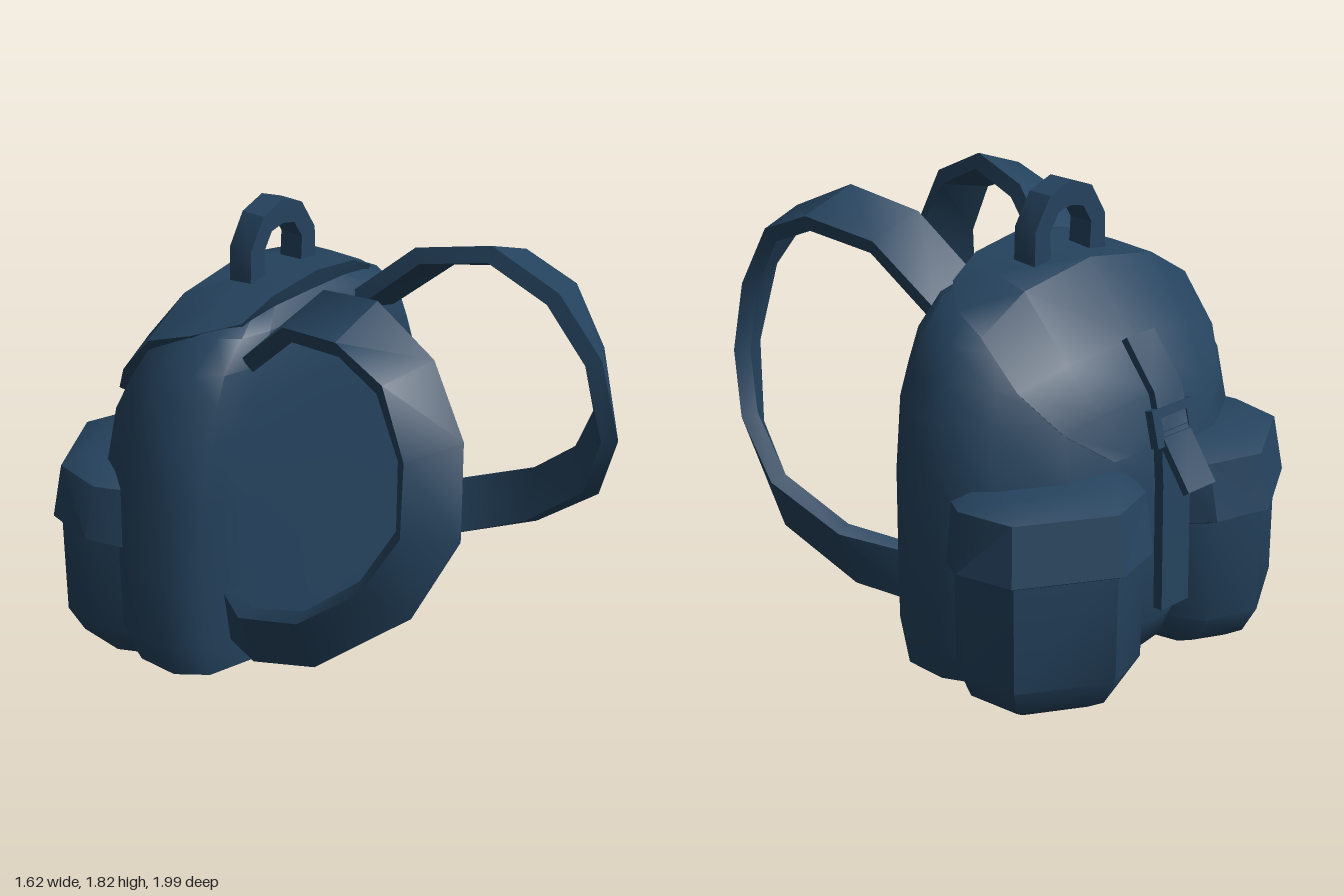
import * as THREE from 'three';
import { toCreasedNormals } from 'three/addons/utils/BufferGeometryUtils.js';

const V = (x, y, z) => new THREE.Vector3(x, y, z);

// Skin a list of closed rings, cap both ends and make it face outwards
function loft(rings, crease = 0.75) {
  const n = rings[0].length, pts = rings.flat(), tris = [];
  rings.slice(1).forEach((_, r) => {
    for (let i = 0; i < n; i++) {
      const a = r * n + i, b = r * n + (i + 1) % n;
      tris.push([a, b, a + n], [b, b + n, a + n]);
    }
  });
  [0, rings.length - 1].forEach((r) => {
    const c = V(0, 0, 0);
    rings[r].forEach((p) => c.addScaledVector(p, 1 / n));
    const k = pts.push(c) - 1;
    for (let i = 0; i < n; i++) {
      const a = r * n + i, b = r * n + (i + 1) % n;
      tris.push(r ? [a, b, k] : [b, a, k]);
    }
  });
  let volume = 0;
  tris.forEach(([a, b, c]) => { volume += pts[a].dot(V(0, 0, 0).crossVectors(pts[b], pts[c])); });
  if (volume < 0) tris.forEach((t) => t.reverse());
  const g = new THREE.BufferGeometry().setFromPoints(pts);
  g.setIndex(tris.flat());
  return toCreasedNormals(g.toNonIndexed(), crease);
}

// Flat webbing running between two edge tracks, thickened to one side
function band(P, Q, thickness) {
  return P.map((p, i) => {
    const q = Q[i], a = Math.max(i - 1, 0), b = Math.min(i + 1, P.length - 1);
    const t = P[b].clone().add(Q[b]).sub(P[a]).sub(Q[a]);
    const d = q.clone().sub(p).cross(t).normalize().multiplyScalar(thickness);
    return [p, q, q.clone().add(d), p.clone().add(d)];
  });
}

const mirrorRings = (rings, s) => rings.map((r) => r.map((p) => V(p.x * s, p.y, p.z)));

export function createModel() {
  const model = new THREE.Group();
  model.name = 'backpack';
  const navy = new THREE.MeshStandardMaterial({ color: 0x25435e });
  navy.name = 'navy canvas';
  const add = (name, geometry) => {
    const mesh = new THREE.Mesh(geometry, navy);
    mesh.name = name;
    model.add(mesh);
    return mesh;
  };

  // Main bag: flat panel at the front, rounded at the rear
  const half = [[0, 0], [0.62, 0.02], [0.88, 0.09], [1, 0.25], [1, 0.5], [0.88, 0.74], [0.55, 0.92], [0, 1]];
  const outline = [...half, ...half.slice(1, -1).reverse().map(([u, v]) => [-u, v])];
  const body = [
    // y, half width, front z, rear z
    [0.01, 0.54, -0.2, -0.6], [0.07, 0.71, -0.02, -0.72], [0.2, 0.745, -0.015, -0.78],
    [0.5, 0.745, -0.01, -0.8], [0.8, 0.735, 0, -0.79], [1.08, 0.7, 0, -0.73],
    [1.2, 0.645, 0, -0.68], [1.32, 0.59, -0.01, -0.6], [1.43, 0.47, -0.03, -0.48], [1.5, 0.3, -0.1, -0.38],
  ].map(([y, w, f, b]) => outline.map(([u, v]) => V(u * w, y, f + (b - f) * v)));
  add('mainBag', loft(body));

  // Lid: arched sections from the front edge, over the top, down the rear
  const lid = [
    // centre y, z, then edge x, y, z
    [1.575, -0.06, 0.38, 1.47, -0.1], [1.56, -0.25, 0.5, 1.42, -0.25], [1.55, -0.43, 0.55, 1.37, -0.42],
    [1.29, -0.66, 0.53, 1.2, -0.58], [1.12, -0.77, 0.43, 1.05, -0.71], [0.93, -0.805, 0.25, 0.92, -0.79],
  ].map(([cy, cz, ex, ey, ez]) => {
    const top = [-1, -0.62, 0, 0.62, 1].map((u) => {
      const k = Math.abs(u) === 1 ? 1 : Math.abs(u) * 0.5;
      return V(u * ex, cy + (ey - cy) * k, cz + (ez - cz) * k);
    });
    const under = top.map((p) => p.clone().add(V(0, 0.8, -0.3).sub(p).setX(-p.x).normalize().multiplyScalar(0.07)));
    return [...top, ...under.reverse()];
  });
  add('lid', loft(lid));

  // Carry handle
  const arch = [[0.19, 1.5, 0.1, 1.5], [0.185, 1.66, 0.11, 1.64], [0.11, 1.78, 0.065, 1.71]];
  const archAll = [...arch, [0, 1.82, 0, 1.725], ...arch.map(([a, b, c, d]) => [-a, b, -c, d]).reverse()];
  add('carryHandle', loft(archAll.map(([ox, oy, ix, iy]) =>
    [V(ox, oy, -0.225), V(ox, oy, -0.33), V(ix, iy, -0.33), V(ix, iy, -0.225)]), 0.6));

  // Shoulder strap edge tracks: the webbing twists as it comes down
  const inner = [V(0.2, 1.42, -0.06), V(0.27, 1.65, 0.2), V(0.34, 1.71, 0.5), V(0.38, 1.58, 0.78), V(0.43, 1.34, 0.95),
    V(0.5, 1, 1), V(0.6, 0.69, 0.87), V(0.71, 0.4, 0.52), V(0.65, 0.25, 0.17), V(0.53, 0.2, -0.06)];
  const outer = [V(0.43, 1.36, -0.06), V(0.5, 1.58, 0.2), V(0.57, 1.63, 0.5), V(0.59, 1.54, 0.72), V(0.62, 1.3, 0.84),
    V(0.66, 1.03, 0.86), V(0.73, 0.8, 0.74), V(0.785, 0.61, 0.5), V(0.73, 0.48, 0.17), V(0.56, 0.42, -0.06)];
  const strap = band(inner, outer, 0.065);

  // Rear pockets, turned outwards by about 30 degrees
  const pocketRing = (y, w, n, dip = 0) => [
    [-w, 0.6], [-w, n - 0.34], [-w, n - 0.17], [-w * 0.56, n], [w * 0.56, n], [w, n - 0.17], [w, n - 0.34], [w, 0.6],
  ].map(([a, d], i) => {
    const k = a + 0.05;
    return V(0.86 * k + 0.51 * d, y + (i > 1 && i < 6 ? dip : 0), 0.51 * k - 0.86 * d);
  });
  const pocket = [[0.03, 0.22, 0.9, -0.03], [0.07, 0.29, 0.97, -0.02], [0.16, 0.335, 1.025], [0.62, 0.34, 1.025]]
    .map((a) => pocketRing(...a));
  const pocketFlap = [[0.55, 0.34, 1.02, 0.02], [0.56, 0.365, 1.055, 0.03], [0.8, 0.345, 1.015, 0.01], [0.86, 0.26, 0.92]]
    .map((a) => pocketRing(...a));

  [['left', 1], ['right', -1]].forEach(([side, s]) => {
    add(side + 'ShoulderStrap', loft(mirrorRings(strap, s), 0.6));
    add(side + 'Pocket', loft(mirrorRings(pocket, s)));
    add(side + 'PocketFlap', loft(mirrorRings(pocketFlap, s)));
  });

  // Closing strap with its loose end, and the strap sewn below it
  const webbing = (path, w, t) => loft(band(path.map(([y, z]) => V(-w, y, z)), path.map(([y, z]) => V(w, y, z)), t), 0.5);
  add('closingStrap', webbing([[1.3, -0.655], [1.13, -0.79], [0.98, -0.83], [0.79, -0.965]], 0.075, 0.03));
  add('lowerStrap', webbing([[1, -0.815], [0.8, -0.83], [0.55, -0.835], [0.3, -0.84]], 0.075, 0.04));

  // Buckle frame
  const frame = new THREE.Shape([[-0.11, -0.07], [0.11, -0.07], [0.11, 0.07], [-0.11, 0.07]].map((p) => new THREE.Vector2(...p)));
  frame.holes.push(new THREE.Path([[-0.07, -0.035], [-0.07, 0.035], [0.07, 0.035], [0.07, -0.035]].map((p) => new THREE.Vector2(...p))));
  const buckle = add('buckle', new THREE.ExtrudeGeometry(frame, { depth: 0.035, bevelEnabled: false }));
  buckle.position.set(0, 1.02, -0.855);
  buckle.rotation.x = 0.25;

  return model;
}
